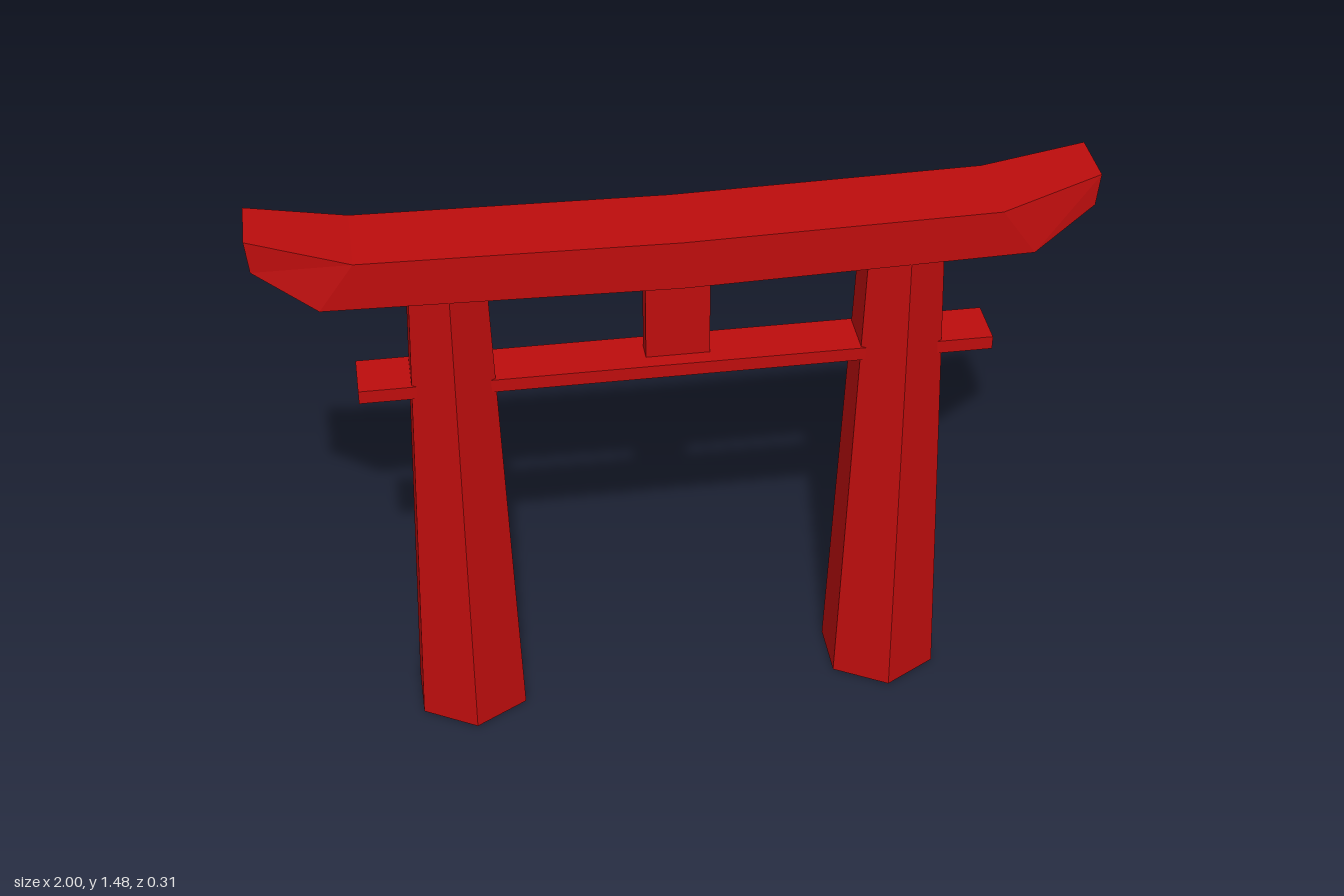
import * as THREE from 'three';

// Lofts a beam through four-cornered sections: [xTop, yTop, xBottom, yBottom, halfDepth]
function loftBeam(sections) {
  const rings = sections.map(([xt, yt, xb, yb, d]) => [
    [xt, yt, d], [xt, yt, -d], [xb, yb, -d], [xb, yb, d],
  ]);
  const pos = [];
  const quad = (a, b, c, d) => pos.push(...a, ...b, ...c, ...a, ...c, ...d);
  for (let i = 0; i < rings.length - 1; i++) {
    const p = rings[i], q = rings[i + 1];
    for (let j = 0; j < 4; j++) {
      const k = (j + 1) % 4;
      quad(p[j], q[j], q[k], p[k]);
    }
  }
  const first = rings[0], last = rings[rings.length - 1];
  quad(first[0], first[1], first[2], first[3]);
  quad(last[3], last[2], last[1], last[0]);
  const geo = new THREE.BufferGeometry();
  geo.setAttribute('position', new THREE.Float32BufferAttribute(pos, 3));
  geo.computeVertexNormals();
  return geo;
}

export function createModel() {
  const group = new THREE.Group();
  const red = new THREE.MeshStandardMaterial({ color: 0xbe0d0d, flatShading: true });
  red.name = 'red paint';

  const add = (name, geo, x = 0, y = 0, z = 0) => {
    const mesh = new THREE.Mesh(geo, red);
    mesh.name = name;
    mesh.position.set(x, y, z);
    group.add(mesh);
  };

  // Tapered six-sided pillars
  const pillar = new THREE.CylinderGeometry(0.106, 0.155, 1.3, 6);
  add('leftPillar', pillar, 0.547, 0.65);
  add('rightPillar', pillar, -0.547, 0.65);

  // Thin tie beam through both pillars, and the short strut above it
  add('tieBeam', new THREE.BoxGeometry(1.55, 0.035, 0.13), 0, 1.0175);
  add('centreStrut', new THREE.BoxGeometry(0.157, 0.3, 0.05), 0, 1.17);

  // Top beam, sagging in the middle with upswept, narrowed ends
  const half = [[0.76, 1.42, 0.845, 1.3, 0.108], [1, 1.482, 0.992, 1.4, 0.076]];
  const mirrored = half.map(([xt, yt, xb, yb, d]) => [-xt, yt, -xb, yb, d]).reverse();
  add('topBeam', loftBeam([...mirrored, [0, 1.407, 0, 1.281, 0.108], ...half]));

  return group;
}
